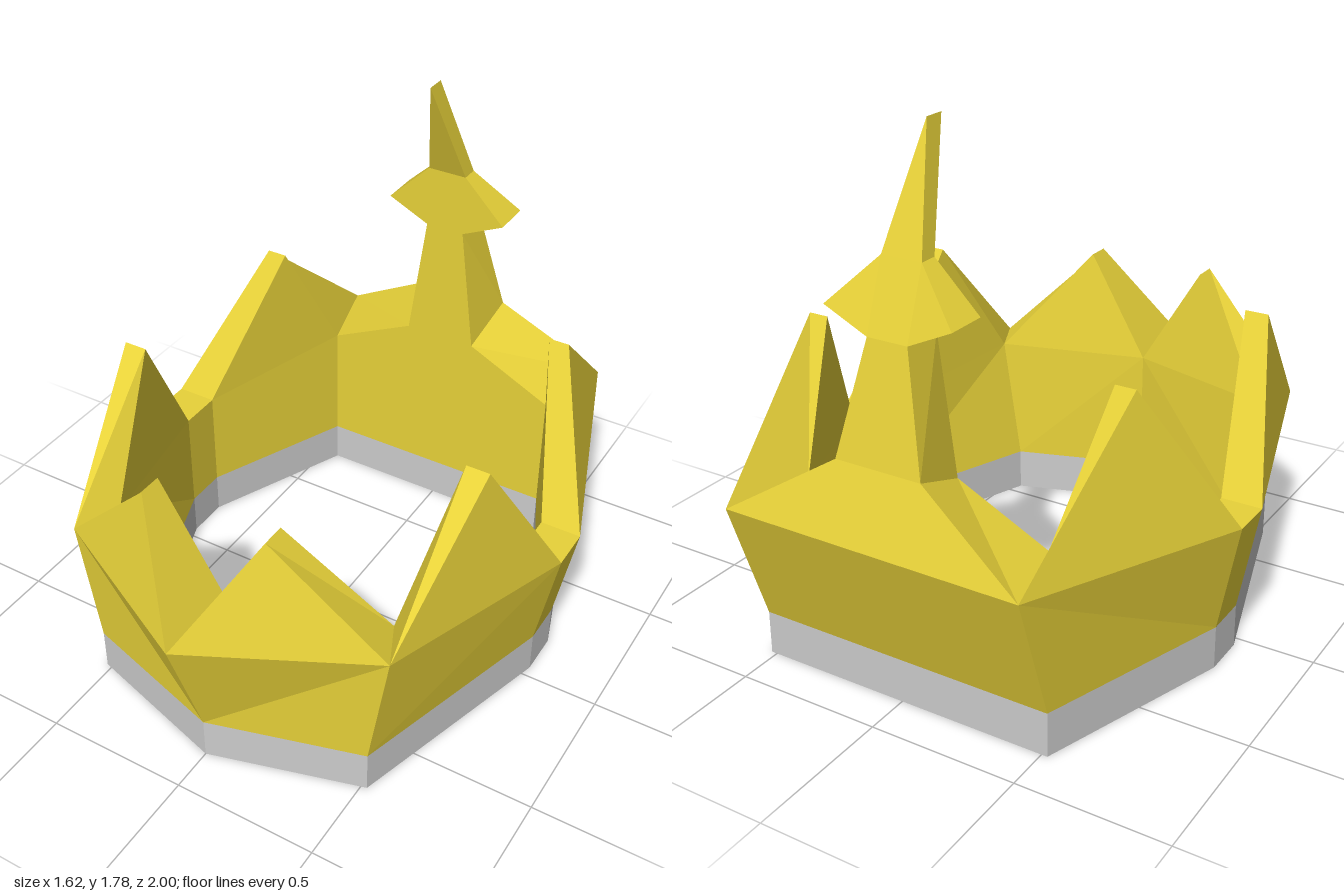
import * as THREE from 'three';

const BAND = 0.15; // height of the grey base band

// Stations of the half ring, front to back.
// ob / ib: outer and inner footprint [x, z]; ot / it: outer and inner rim points
const stations = [
  { ob: [0, 0.85], ot: [0, 0.59, 1], ib: [0, 0.7], it: [0, 0.59, 0.7] },
  { ob: [0.52, 0.7], ot: [0.59, 0.59, 0.7], ib: [0.45, 0.55], it: [0.52, 0.59, 0.55] },
  { ob: [0.74, -0.04], ot: [0.81, 0.52, -0.04], ib: [0.67, -0.04], it: [0.67, 0.52, -0.04] },
  { ob: [0.74, -0.19], ot: [0.81, 0.52, -0.19], ib: [0.67, -0.19], it: [0.67, 0.52, -0.19] },
  { ob: [0.52, -0.85], ot: [0.52, 0.59, -1], ib: [0.44, -0.71], it: [0.44, 0.59, -0.71] },
];

// Peak ridge (outer, inner) standing between station i and i + 1
const peaks = [
  [[0.22, 0.96, 0.78], [0.22, 0.96, 0.7]],
  [[0.67, 1.04, 0.26], [0.59, 1.04, 0.26]],
  null,
  [[0.59, 1.04, -0.48], [0.52, 1.04, -0.48]],
];

// Spire outline as [back point, front point], from the rear corner to the tip
const corner = [stations[4].ot, stations[4].it];
const foot = [[0.15, 0.82, -0.92], [0.13, 0.74, -0.71]];
const neck = [[0.07, 1.19, -0.85], [0.07, 1.19, -0.71]];
const wing = [[0.22, 1.26, -0.85], [0.22, 1.26, -0.71]];
const shoulder = [[0.07, 1.41, -0.77], [0.07, 1.41, -0.71]];
const tip = [[0, 1.78, -0.63], [0, 1.78, -0.56]];

const at = ([x, z], y) => [x, y, z];
const mid = ([, y, z]) => [0, y, z];

// Mesh of flat convex panels, each fanned from its first corner and mirrored in x
function panelMesh(name, panels, material) {
  const pos = [];
  const flip = ([x, y, z]) => [-x, y, z];
  for (const p of panels) {
    for (let i = 1; i < p.length - 1; i++) {
      pos.push(...p[0], ...p[i], ...p[i + 1]);
      pos.push(...flip(p[0]), ...flip(p[i + 1]), ...flip(p[i]));
    }
  }
  const geo = new THREE.BufferGeometry();
  geo.setAttribute('position', new THREE.Float32BufferAttribute(pos, 3));
  geo.computeVertexNormals();
  const mesh = new THREE.Mesh(geo, material);
  mesh.name = name;
  return mesh;
}

// Strip over the thickness, from one outer/inner pair to the next
const rim = (a, b) => [a[0], b[0], b[1], a[1]];

export function createModel() {
  const gold = new THREE.MeshStandardMaterial({ color: 0xe8d239, flatShading: true });
  const grey = new THREE.MeshStandardMaterial({ color: 0xcccccc, flatShading: true });
  const group = new THREE.Group();
  group.name = 'crown';

  // Base band: outer side, inner side and underside, closed at the back centre
  const feet = [...stations, { ob: [0, -0.85], ib: [0, -0.71] }];
  const base = [];
  for (let i = 0; i < feet.length - 1; i++) {
    const a = feet[i], b = feet[i + 1];
    base.push([at(a.ob, 0), at(b.ob, 0), at(b.ob, BAND), at(a.ob, BAND)]);
    base.push([at(b.ib, 0), at(a.ib, 0), at(a.ib, BAND), at(b.ib, BAND)]);
    base.push([at(a.ob, 0), at(a.ib, 0), at(b.ib, 0), at(b.ob, 0)]);
  }
  group.add(panelMesh('baseBand', base, grey));

  // Flared walls
  const wall = [], points = [];
  for (let i = 0; i < stations.length - 1; i++) {
    const a = stations[i], b = stations[i + 1], peak = peaks[i];
    wall.push([at(a.ob, BAND), at(b.ob, BAND), b.ot, a.ot]);
    wall.push([at(b.ib, BAND), at(a.ib, BAND), a.it, b.it]);
    const start = [a.ot, a.it], end = [b.ot, b.it];
    if (!peak) {
      wall.push(rim(start, end));
      continue;
    }
    // Triangular peak: two faces and two sloping edges
    points.push([a.ot, b.ot, peak[0]], [b.it, a.it, peak[1]]);
    points.push(rim(start, peak), rim(peak, end));
  }
  // Rear wall
  const d = stations[4];
  wall.push([at(d.ob, BAND), [0, BAND, -0.85], mid(d.ot), d.ot]);
  wall.push([[0, BAND, -0.71], at(d.ib, BAND), d.it, mid(d.it)]);
  group.add(panelMesh('wall', wall, gold));
  group.add(panelMesh('peaks', points, gold));

  // Rear spire: back and front faces in levels, then the edges and side wings
  const spire = [];
  const levels = [corner, foot, neck, shoulder, tip];
  for (let i = 0; i < levels.length - 1; i++) {
    const a = levels[i], b = levels[i + 1];
    spire.push([a[0], mid(a[0]), mid(b[0]), b[0]]);
    spire.push([mid(a[1]), a[1], b[1], mid(b[1])]);
  }
  spire.push([wing[0], neck[0], shoulder[0]], [neck[1], wing[1], shoulder[1]]);
  // The wings are open underneath
  for (const [a, b] of [[corner, foot], [foot, neck], [wing, shoulder], [shoulder, tip]]) {
    spire.push(rim(a, b));
  }
  group.add(panelMesh('rearSpire', spire, gold));

  return group;
}
